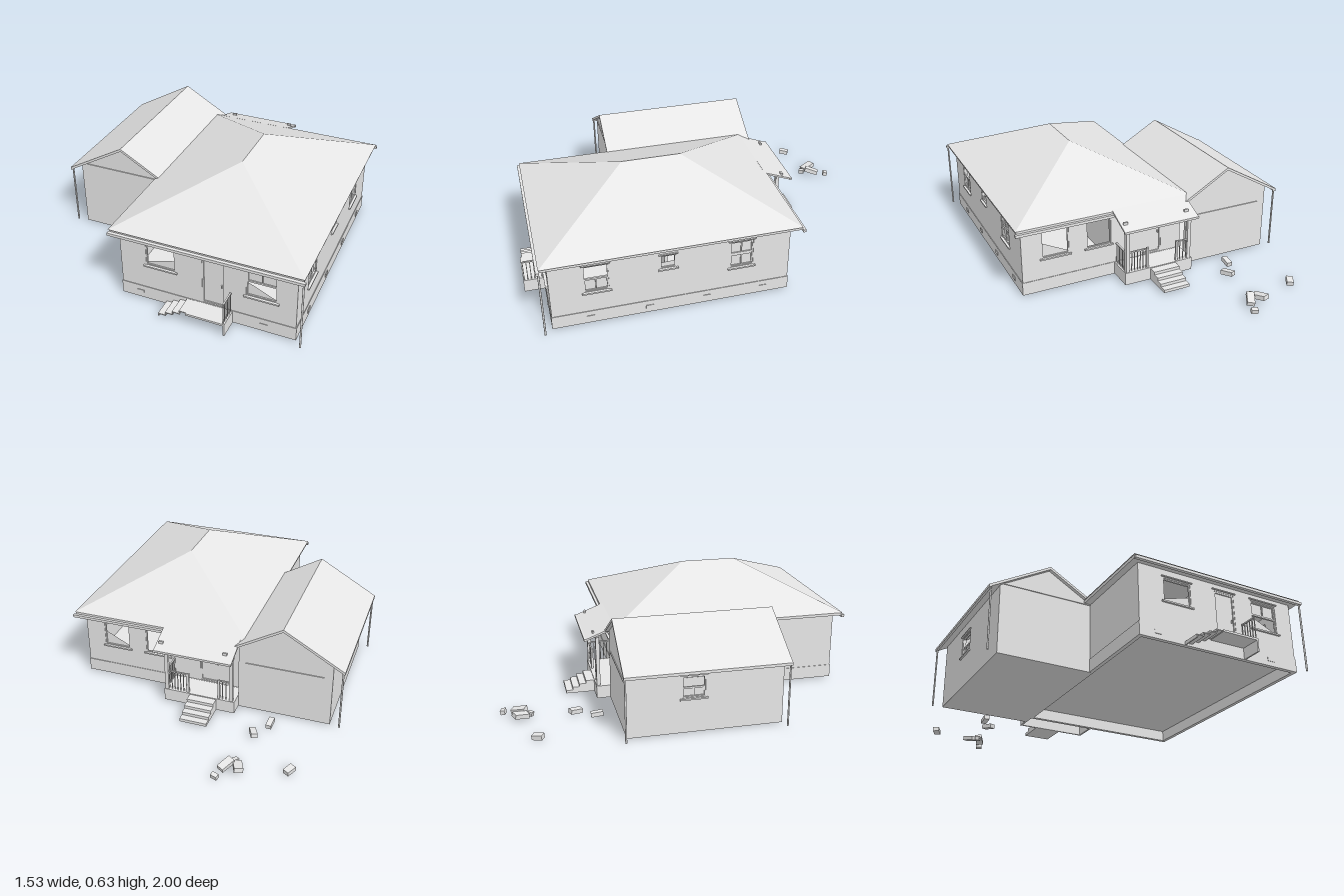
import * as THREE from 'three';

export function createModel() {
  const root = new THREE.Group();
  root.name = 'house';
  const mat = new THREE.MeshStandardMaterial({ color: 0xe6e6e6, side: THREE.DoubleSide });
  mat.name = 'plain grey';

  const add = (parent, name, geo) => {
    const m = new THREE.Mesh(geo, mat);
    m.name = name;
    parent.add(m);
    return m;
  };
  // Box given by its minimum and maximum on each axis
  const box = (parent, name, x0, x1, y0, y1, z0, z1) => {
    const m = add(parent, name, new THREE.BoxGeometry(x1 - x0, y1 - y0, z1 - z0));
    m.position.set((x0 + x1) / 2, (y0 + y1) / 2, (z0 + z1) / 2);
    return m;
  };
  const shapeOf = pts => new THREE.Shape(pts.map(p => new THREE.Vector2(p[0], p[1])));
  const rect = (x0, x1, y0, y1) => [[x0, y0], [x1, y0], [x1, y1], [x0, y1]];
  const extrude = (shape, depth) => new THREE.ExtrudeGeometry(shape, { depth, bevelEnabled: false });

  // Wall whose outer face is local z = 0, with openings in local coordinates
  function wall(name, outline, openings, pos, turn) {
    const g = new THREE.Group();
    g.name = name;
    const s = shapeOf(outline);
    openings.forEach(o => s.holes.push(shapeOf(rect(o.u0, o.u1, o.y0, o.y1))));
    add(g, name + 'Panel', extrude(s, 0.02)).position.z = -0.02;
    openings.forEach(o => (o.door ? door : windowUnit)(g, o));
    g.position.set(...pos);
    g.rotation.y = turn;
    root.add(g);
  }

  function frame(g, name, { u0, u1, y0, y1 }, t, z) {
    const s = shapeOf(rect(u0, u1, y0, y1));
    s.holes.push(shapeOf(rect(u0 + t, u1 - t, y0 + t, y1 - t)));
    add(g, name, extrude(s, 0.01)).position.z = z;
  }

  // Window with sill and lintel; sashes: upper / lower, shard: left and right height of broken glass
  function windowUnit(g, o) {
    const { u0, u1, y0, y1, upper, lower, shard } = o;
    const mid = (u0 + u1) / 2, half = (y0 + y1) / 2;
    frame(g, 'windowFrame', o, 0.006, -0.013);
    box(g, 'windowSill', u0 - 0.012, u1 + 0.012, y0 - 0.008, y0, -0.015, 0.01);
    box(g, 'windowLintel', u0 - 0.01, u1 + 0.01, y1 + 0.006, y1 + 0.012, -0.005, 0.008);
    for (const [on, a, b] of [[upper, half, y1], [lower, y0, half]]) {
      if (!on) continue;
      frame(g, 'sash', { u0, u1, y0: a, y1: b }, 0.009, -0.016);
      box(g, 'glazingBar', mid - 0.003, mid + 0.003, a, b, -0.014, -0.006);
      add(g, 'pane', new THREE.ShapeGeometry(shapeOf(rect(u0, u1, a, b)))).position.z = -0.012;
    }
    if (shard) {
      const s = shapeOf([[u0, y0], [u1, y0], [u1, y0 + shard[1]], [u0, y0 + shard[0]]]);
      add(g, 'brokenPane', new THREE.ShapeGeometry(s)).position.z = -0.01;
    }
  }

  function door(g, o) {
    frame(g, 'doorFrame', o, 0.008, -0.012);
    box(g, 'doorLeaf', o.u0 + 0.008, o.u1 - 0.008, o.y0, o.y1 - 0.008, -0.016, -0.008);
    box(g, 'doorLintel', o.u0 - 0.012, o.u1 + 0.012, o.y1 + 0.007, o.y1 + 0.013, -0.005, 0.008);
    box(g, 'doorHandle', o.u1 - 0.02, o.u1 - 0.014, 0.2, 0.215, -0.008, 0.002);
  }

  // House base: a hollow skirt under the floor
  box(root, 'houseFloor', -0.2, 0.72, 0.07, 0.08, -0.335, 0.89);
  box(root, 'baseFront', -0.202, 0.722, 0.01, 0.082, 0.872, 0.893);
  box(root, 'baseBack', -0.202, 0.722, 0.01, 0.082, -0.338, -0.317);
  box(root, 'baseLeft', 0.702, 0.723, 0.01, 0.082, -0.338, 0.893);
  box(root, 'baseRight', -0.203, -0.182, 0.01, 0.082, -0.338, 0.893);

  // House walls and openings
  wall('frontWall', rect(-0.2, 0.72, 0.08, 0.4), [
    { u0: -0.06, u1: 0.097, y0: 0.222, y1: 0.347, shard: [0.015, 0.06] },
    { u0: 0.24, u1: 0.358, y0: 0.085, y1: 0.354, door: true },
    { u0: 0.467, u1: 0.622, y0: 0.2, y1: 0.358, upper: true, shard: [0.075, 0.005] }], [0, 0, 0.89], 0);
  wall('backWall', rect(-0.72, 0.2, 0.08, 0.4), [
    { u0: -0.61, u1: -0.46, y0: 0.2, y1: 0.358, shard: [0.085, 0.01] },
    { u0: -0.36, u1: -0.22, y0: 0.2, y1: 0.358 },
    { u0: -0.04, u1: 0.08, y0: 0.085, y1: 0.34, door: true }], [0, 0, -0.335], Math.PI);
  wall('leftWall', rect(-0.89, 0.335, 0.08, 0.4), [
    { u0: -0.722, u1: -0.598, y0: 0.2, y1: 0.355, lower: true },
    { u0: -0.34, u1: -0.262, y0: 0.268, y1: 0.345, shard: [0.03, 0.035] },
    { u0: 0.018, u1: 0.14, y0: 0.2, y1: 0.355, upper: true, lower: true }], [0.72, 0, 0], Math.PI / 2);
  wall('rightWall', rect(-0.335, 0.89, 0.08, 0.4), [], [-0.2, 0, 0], -Math.PI / 2);

  // Room partitions
  box(root, 'partitionAcross', -0.18, 0.7, 0.08, 0.393, 0.3, 0.315);
  box(root, 'partitionAlong', 0.2, 0.215, 0.08, 0.393, -0.315, 0.87);

  // Small vents along the base
  for (const z of [-0.2, 0.1, 0.4, 0.7]) box(root, 'baseVent', 0.72, 0.726, 0.035, 0.055, z - 0.02, z + 0.02);
  for (const x of [-0.1, 0.56]) box(root, 'baseVent', x - 0.02, x + 0.02, 0.035, 0.055, 0.89, 0.896);

  // Hipped roof over a flat eaves slab
  box(root, 'eavesSlab', -0.235, 0.755, 0.393, 0.41, -0.385, 0.925);
  const a = [-0.24, 0.41, 0.93], b = [0.76, 0.41, 0.93], c = [0.76, 0.41, -0.385], d = [-0.24, 0.41, -0.385];
  const r = [0.26, 0.632, 0.43], s = [0.26, 0.632, 0.12];
  const hip = new THREE.BufferGeometry();
  const tris = [a, b, r, b, c, s, b, s, r, c, d, s, d, a, r, d, r, s];
  hip.setAttribute('position', new THREE.Float32BufferAttribute(tris.flat(), 3));
  hip.computeVertexNormals();
  add(root, 'hippedRoof', hip);

  // Gutters along the eaves
  box(root, 'frontGutter', -0.24, 0.765, 0.383, 0.398, 0.925, 0.942);
  box(root, 'backGutter', 0.23, 0.765, 0.383, 0.398, -0.4, -0.385);

  // Garage: floor, gabled walls and side window
  box(root, 'garageFloor', -0.705, -0.2, 0.008, 0.018, -0.4, 0.41);
  const gable = sx => [[-0.705 * sx, 0.008], [-0.2 * sx, 0.008], [-0.2 * sx, 0.395], [-0.44 * sx, 0.533], [-0.705 * sx, 0.38]];
  wall('garageFrontWall', gable(1), [], [0, 0, 0.41], 0);
  wall('garageBackWall', gable(-1), [], [0, 0, -0.4], Math.PI);
  wall('garageSideWall', rect(-0.4, 0.41, 0.008, 0.378), [
    { u0: -0.12, u1: 0.0, y0: 0.195, y1: 0.31, lower: true }], [-0.705, 0, 0], -Math.PI / 2);
  box(root, 'gableLedge', -0.7, -0.2, 0.388, 0.394, 0.41, 0.415);
  box(root, 'gableLedge', -0.66, -0.24, 0.29, 0.296, -0.405, -0.4);
  const chevron = shapeOf([[-0.765, 0.36], [-0.44, 0.547], [-0.18, 0.397],
    [-0.18, 0.382], [-0.44, 0.532], [-0.765, 0.345]]);
  add(root, 'garageRoof', extrude(chevron, 0.85)).position.z = -0.42;
  box(root, 'garageGutter', -0.768, -0.755, 0.345, 0.36, -0.42, 0.43);

  // Drainpipes
  for (const [x, z, h] of [[-0.757, -0.412, 0.35], [-0.757, 0.422, 0.35], [0.756, 0.93, 0.39]]) {
    const p = add(root, 'drainpipe', new THREE.CylinderGeometry(0.005, 0.005, h - 0.01, 8));
    p.position.set(x, (h + 0.01) / 2, z);
  }

  // Railing between two points on the ground plan
  function railing(x0, z0, x1, z1) {
    const g = new THREE.Group();
    g.name = 'railing';
    const len = Math.hypot(x1 - x0, z1 - z0), n = Math.max(3, Math.round(len / 0.018));
    box(g, 'handrail', 0, len, 0.191, 0.198, -0.004, 0.004);
    for (let i = 0; i <= n; i++) {
      const u = (len * i) / n;
      box(g, 'baluster', u - 0.002, u + 0.002, 0.08, 0.195, -0.002, 0.002);
    }
    g.position.set(x0, 0, z0);
    g.rotation.y = -Math.atan2(z1 - z0, x1 - x0);
    root.add(g);
  }

  // Front landing: slab on a side panel, with open-sided steps rising sideways
  box(root, 'landingSlab', 0.195, 0.4, 0.07, 0.081, 0.89, 0.998);
  box(root, 'landingSide', 0.392, 0.4, 0.01, 0.08, 0.89, 0.998);
  for (let i = 0; i < 4; i++) {
    const x = 0.045 + i * 0.038, y = 0.0275 + i * 0.0175;
    box(root, 'frontTread', x, x + 0.042, y - 0.005, y, 0.89, 0.99);
    box(root, 'frontRiser', x, x + 0.005, y - 0.0175, y, 0.89, 0.99);
  }
  railing(0.392, 0.9, 0.392, 0.992);

  // Back porch: floor, skirt, steps, posts, railings and lean-to roof
  box(root, 'porchFloor', -0.2, 0.2, 0.07, 0.081, -0.475, -0.335);
  box(root, 'porchSkirtBack', -0.2, 0.2, 0.01, 0.075, -0.475, -0.465);
  for (const x of [-0.2, 0.19]) box(root, 'porchSkirtSide', x, x + 0.01, 0.01, 0.075, -0.475, -0.335);
  for (let i = 0; i < 4; i++)
    box(root, 'porchStep', -0.098, 0.052, 0.01 + i * 0.0165, 0.0265 + i * 0.0165, -0.632 + i * 0.037, -0.475);
  for (const x of [-0.18, 0.185]) box(root, 'porchPost', x - 0.01, x + 0.01, 0.08, 0.362, -0.472, -0.452);
  for (const x of [-0.11, 0.065]) box(root, 'newelPost', x - 0.006, x + 0.006, 0.08, 0.2, -0.468, -0.456);
  box(root, 'porchBeam', -0.195, 0.2, 0.345, 0.362, -0.47, -0.454);
  railing(0.19, -0.34, 0.19, -0.452);
  railing(0.075, -0.462, 0.175, -0.462);
  railing(-0.17, -0.462, -0.11, -0.462);
  const leanTo = shapeOf([[0.37, 0.417], [0.53, 0.355], [0.53, 0.345], [0.37, 0.405]]);
  const porchRoof = add(root, 'porchRoof', extrude(leanTo, 0.43));
  porchRoof.rotation.y = Math.PI / 2;
  porchRoof.position.x = -0.2;
  box(root, 'porchGutter', -0.2, 0.232, 0.345, 0.357, -0.534, -0.522);
  for (const x of [-0.15, 0.205]) box(root, 'roofBracket', x - 0.012, x + 0.012, 0.365, 0.387, -0.484, -0.474);

  // Loose blocks scattered behind: x, height, z, width, length, turn, tilt
  const blocks = [[-0.6, 0.019, -0.825, 0.035, 0.055, -0.5, -0.12], [-0.36, 0.03, -0.895, 0.045, 0.08, 0.4, 0.2],
    [-0.3, 0.033, -0.9, 0.04, 0.08, -0.5, -0.25], [-0.33, 0.02, -0.845, 0.025, 0.03, -0.6, 0.2],
    [-0.27, 0.018, -0.982, 0.035, 0.024, -0.3, -0.2], [-0.35, 0.02, -0.61, 0.033, 0.07, 0.45, 0.15],
    [-0.41, 0.02, -0.505, 0.03, 0.065, -0.05, -0.12]];
  blocks.forEach(([x, y, z, w, l, turn, tilt]) => {
    const m = add(root, 'looseBlock', new THREE.BoxGeometry(w, 0.024, l));
    m.position.set(x, y, z);
    m.rotation.set(tilt, turn, 0);
  });

  return root;
}
